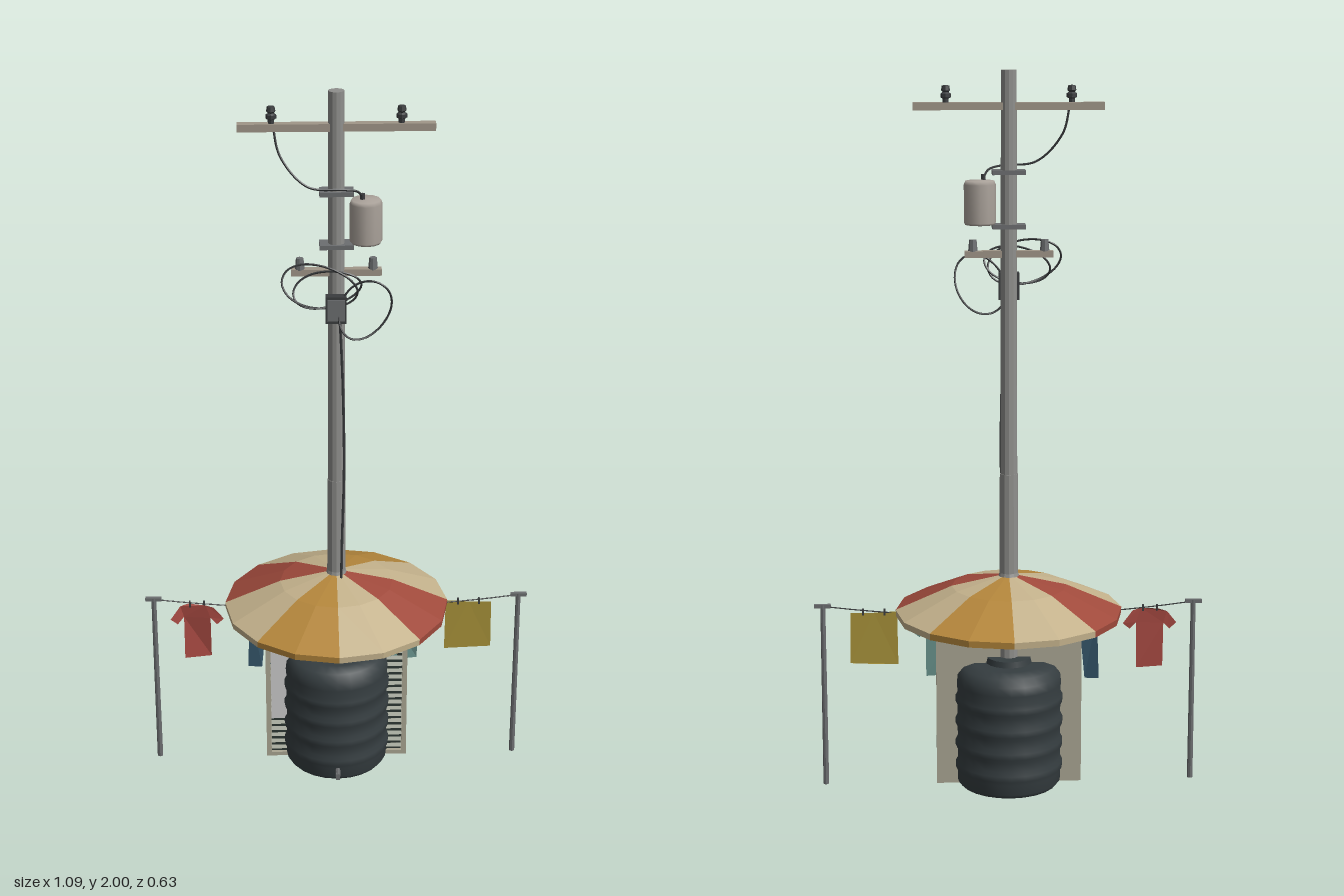
import * as THREE from 'three';

export function createModel() {
  const root = new THREE.Group();
  const V = (x, y, z = 0) => new THREE.Vector3(x, y, z);
  const mat = (color, opts = {}) => new THREE.MeshStandardMaterial({ color, ...opts });
  const flat = (color) => mat(color, { flatShading: true });
  const M = {
    pole: flat(0x8f8f8c), wood: flat(0xa09688), can: mat(0xaaa29a), metal: flat(0x6c6e70),
    dark: flat(0x3a3c3e), tank: mat(0x353d40), base: flat(0x2a566c), panel: flat(0xa9a592),
    gap: flat(0x2d3833), slat: flat(0xa6aa9c), sign: flat(0xc9cccd),
  };
  const add = (name, geo, material, x = 0, y = 0, z = 0, parent = root) => {
    const m = new THREE.Mesh(geo, material);
    m.name = name;
    m.position.set(x, y, z);
    parent.add(m);
    return m;
  };
  const box = (name, w, h, d, material, x, y, z, parent) =>
    add(name, new THREE.BoxGeometry(w, h, d), material, x, y, z, parent);
  const cyl = (name, rt, rb, h, n, material, x, y, z, parent) =>
    add(name, new THREE.CylinderGeometry(rt, rb, h, n), material, x, y, z, parent);
  const lathe = (pts, n, start = 0, len = Math.PI * 2) =>
    new THREE.LatheGeometry(pts.map(([r, y]) => new THREE.Vector2(r, y)), n, start, len);
  const wire = (name, pts, r, closed = false, seg = 40) =>
    add(name, new THREE.TubeGeometry(new THREE.CatmullRomCurve3(pts, closed), seg, r, 5, closed), M.dark);

  // Utility pole with a slightly thicker lower sleeve
  cyl('pole', 0.021, 0.0235, 1.1, 12, M.pole, 0, 1.45, 0);
  cyl('poleLower', 0.025, 0.028, 0.9, 12, M.pole, 0, 0.451, 0);

  // Crossarms with insulators
  const insulator = (x, y, s) => {
    const g = add('insulator', lathe([[0, 0], [0.008, 0], [0.008, 0.012], [0.014, 0.015], [0.014, 0.025],
      [0.008, 0.029], [0.012, 0.034], [0.01, 0.046], [0, 0.048]], 8), M.dark, x, y, 0);
    g.scale.setScalar(s);
  };
  box('upperCrossarm', 0.512, 0.02, 0.025, M.wood, 0, 1.905, 0);
  box('lowerCrossarm', 0.24, 0.018, 0.022, M.wood, 0, 1.51, 0);
  for (const s of [-1, 1]) {
    insulator(s * 0.168, 1.913, 1);
    cyl('lowerInsulator', 0.01, 0.013, 0.032, 8, M.metal, s * 0.097, 1.533, 0);
  }

  // Transformer can with its brackets
  add('transformer', lathe([[0, 0], [0.04, 0], [0.043, 0.006], [0.043, 0.108], [0.039, 0.118], [0, 0.121]], 12),
    M.can, 0.078, 1.59, -0.004);
  for (const y of [1.585, 1.73]) box('poleBracket', 0.09, 0.012, 0.052, M.metal, 0, y, 0);
  cyl('transformerTerminal', 0.007, 0.007, 0.02, 6, M.dark, 0.068, 1.715, 0);

  // Junction box and loose cables
  box('junctionBox', 0.056, 0.075, 0.026, M.dark, -0.002, 1.418, 0.036);
  box('junctionBoxLid', 0.046, 0.06, 0.004, M.metal, -0.002, 1.418, 0.05);
  wire('transformerWire', [V(-0.165, 1.92), V(-0.145, 1.83, 0.015), V(-0.075, 1.755, 0.035),
    V(0.02, 1.745, 0.03), V(0.055, 1.735, 0.015), V(0.068, 1.715)], 0.0032);
  const loop = (cx, cy, rx, ry, z, tilt) => {
    const pts = [];
    for (let i = 0; i < 12; i++) {
      const a = (i / 12) * Math.PI * 2;
      pts.push(V(cx + rx * Math.cos(a), cy + ry * Math.sin(a) + tilt * Math.cos(a), z + 0.012 * Math.sin(a * 2)));
    }
    wire('cableLoop', pts, 0.003, true, 48);
  };
  loop(-0.045, 1.483, 0.1, 0.06, 0.045, -0.015);
  loop(-0.025, 1.475, 0.09, 0.05, 0.04, 0.012);
  loop(0.075, 1.42, 0.07, 0.08, 0.05, 0.02);
  wire('downCable', [V(0.008, 1.39, 0.04), V(0.016, 1.2, 0.03), V(0.02, 0.95, 0.032),
    V(0.014, 0.7, 0.034), V(0.01, 0.37, 0.035)], 0.004);

  // Parasol: eight coloured sectors, two facets each
  const parasol = new THREE.Group();
  parasol.name = 'parasol';
  root.add(parasol);
  const profile = [[0.316, 0.494], [0.317, 0.512], [0.16, 0.58], [0.022, 0.61]];
  const colours = [0xc4b28c, 0xa04a3c, 0xc4b28c, 0xb5873c];
  for (let i = 0; i < 8; i++) {
    const m = mat(colours[i % 4], { flatShading: true, side: THREE.DoubleSide });
    add('parasolSector', lathe(profile, 2, i * Math.PI / 4, Math.PI / 4), m, 0, 0, 0, parasol);
  }
  cyl('parasolCollar', 0.026, 0.032, 0.02, 12, M.pole, 0, 0.608, 0, parasol);

  // Ribbed water tank with lid and tap
  const side = [[0.138, 0], [0.147, 0.012]];
  for (const y of [0.06, 0.125, 0.19, 0.255]) {
    side.push([0.147, y - 0.02], [0.153, y - 0.008], [0.153, y + 0.008], [0.147, y + 0.02]);
  }
  side.push([0.149, 0.3], [0.146, 0.325], [0.13, 0.345], [0.1, 0.356], [0, 0.358]);
  add('tank', lathe(side, 24), M.tank);
  const floor = add('tankBase', new THREE.CircleGeometry(0.138, 24), M.base, 0, 0.001, 0);
  floor.rotation.x = Math.PI / 2;
  cyl('tankLid', 0.062, 0.066, 0.018, 20, M.tank, 0, 0.364, 0);
  cyl('tap', 0.007, 0.007, 0.04, 8, M.metal, 0, 0.037, 0.16).rotation.x = Math.PI / 2;
  box('tapSpout', 0.012, 0.018, 0.01, M.metal, 0, 0.034, 0.176);

  // Louvred shutter panel
  const shutter = new THREE.Group();
  shutter.name = 'shutter';
  root.add(shutter);
  box('shutterBack', 0.41, 0.5, 0.012, M.panel, 0, 0.25, -0.006, shutter);
  box('shutterGap', 0.38, 0.48, 0.002, M.gap, 0, 0.25, 0.001, shutter);
  for (const s of [-1, 1]) box('shutterStile', 0.014, 0.5, 0.012, M.panel, s * 0.198, 0.25, 0.006, shutter);
  for (const y of [0.006, 0.494]) box('shutterRail', 0.4, 0.012, 0.012, M.panel, 0, y, 0.006, shutter);
  for (let i = 0; i < 22; i++) {
    box('slat', 0.382, 0.011, 0.003, M.slat, 0, 0.027 + i * 0.0213, 0.006, shutter).rotation.x = -0.5;
  }
  box('noticeBoard', 0.09, 0.23, 0.004, M.sign, -0.145, 0.245, 0.012, shutter);

  // Washing line posts and rope
  const ropeY = (x) => 0.49 + 0.035 * (x / 0.52) ** 2;
  for (const s of [-1, 1]) {
    cyl('linePost', 0.007, 0.008, 0.53, 8, M.metal, s * 0.52, 0.265, 0);
    box('linePostArm', 0.046, 0.01, 0.011, M.metal, s * 0.521, 0.526, 0);
  }
  const rope = [];
  for (let i = 0; i <= 12; i++) rope.push(V(-0.52 + i * 1.04 / 12, ropeY(-0.52 + i * 1.04 / 12)));
  wire('washingLine', rope, 0.0018);

  // Laundry: thin outlines with a gentle fold, hung by pegs
  const shirt = [[-0.025, 0], [0.025, 0], [0.048, -0.008], [0.076, -0.045], [0.056, -0.062],
    [0.038, -0.042], [0.038, -0.172], [-0.038, -0.172], [-0.038, -0.042], [-0.056, -0.062],
    [-0.076, -0.045], [-0.048, -0.008]];
  const trousers = [[-0.045, 0], [0.045, 0], [0.052, -0.19], [0.012, -0.19], [0, -0.07], [-0.012, -0.19], [-0.052, -0.19]];
  const towel = [[-0.065, 0.004], [0, 0], [0.065, 0], [0.067, -0.147], [0, -0.15], [-0.067, -0.152]];
  const hang = (name, outline, color, x, peg, tilt = 0) => {
    const geo = new THREE.ShapeGeometry(new THREE.Shape(outline.map(([a, b]) => new THREE.Vector2(a, b))));
    const p = geo.attributes.position;
    for (let i = 0; i < p.count; i++) p.setZ(i, 0.007 * Math.sin(p.getX(i) * 45 + p.getY(i) * 20));
    geo.computeVertexNormals();
    const g = new THREE.Group();
    g.name = name;
    g.position.set(x, ropeY(x) - 0.004, 0);
    g.rotation.z = tilt;
    root.add(g);
    add(name + 'Cloth', geo, mat(color, { flatShading: true, side: THREE.DoubleSide }), 0, 0, 0, g);
    for (const s of [-1, 1]) box('peg', 0.005, 0.018, 0.008, M.dark, s * peg, 0.002, 0, g);
  };
  hang('redShirt', shirt, 0xa84a42, -0.398, 0.02);
  hang('blueTrousers', trousers, 0x35566a, -0.203, 0.035);
  hang('tealShirt', shirt, 0x67908a, 0.195, 0.02);
  hang('yellowTowel', towel, 0xa8923a, 0.378, 0.03);
  return root;
}
